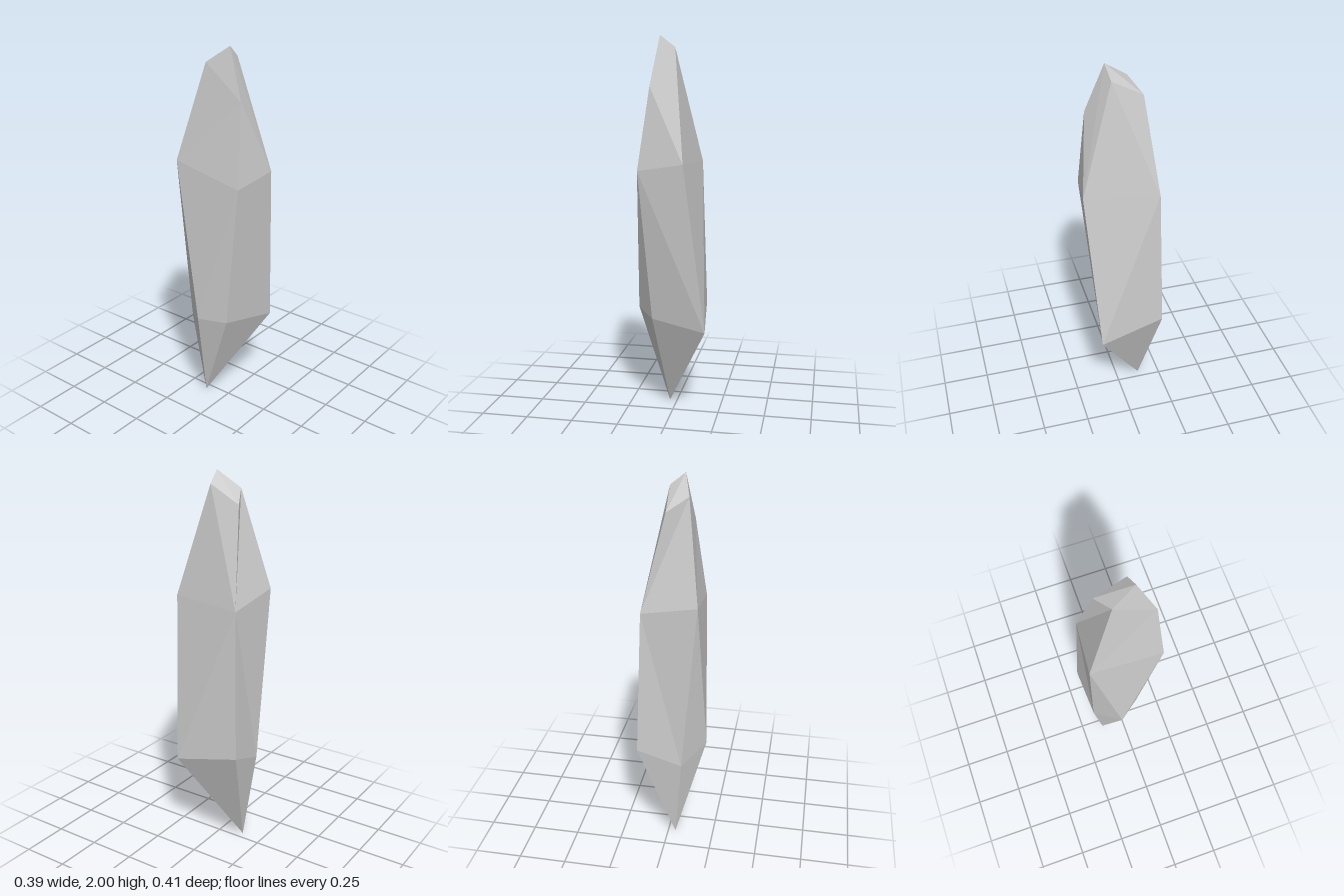
import * as THREE from 'three';

// Corners of the crystal, from tip to tip
const P = {
  base: [-0.04, 0, -0.13],
  // lower belt
  lowFront: [-0.1, 0.53, 0.065], lowFrontLeft: [0.194, 0.49, 0.142], lowBackLeft: [0.155, 0.565, -0.205],
  lowBack: [-0.08, 0.48, -0.187], lowRight: [-0.196, 0.56, -0.053],
  // upper belt
  upFrontRight: [-0.15, 1.33, 0.175], upFrontLeft: [0.088, 1.37, 0.204],
  upBackLeft: [0.13, 1.35, -0.18], upBackRight: [-0.16, 1.41, -0.207],
  // crown
  shoulder: [-0.09, 1.75, 0.146], peak: [-0.055, 2, 0.053], capLeft: [0.02, 1.94, 0.04],
  capBack: [0.012, 1.85, -0.12], capRight: [-0.092, 1.915, -0.066],
};

export function createModel() {
  const group = new THREE.Group();
  const material = new THREE.MeshStandardMaterial({ color: 0xcccccc, flatShading: true });

  // Each facet is a list of corners, counter-clockwise from outside, fanned from its first corner
  function addFacets(name, facets) {
    const pos = [];
    for (const f of facets)
      for (let i = 1; i < f.length - 1; i++)
        for (const key of [f[0], f[i], f[i + 1]]) pos.push(...P[key]);
    const geo = new THREE.BufferGeometry();
    geo.setAttribute('position', new THREE.Float32BufferAttribute(pos, 3));
    geo.computeVertexNormals();
    const mesh = new THREE.Mesh(geo, material);
    mesh.name = name;
    group.add(mesh);
  }

  // Lower point: a fan from the base tip to the lower belt
  const belt = ['lowFront', 'lowFrontLeft', 'lowBackLeft', 'lowBack', 'lowRight'];
  addFacets('lowerPoint', belt.map((k, i) => ['base', belt[(i + 1) % belt.length], k]));

  // Long body facets between the two belts
  addFacets('body', [
    ['lowFrontLeft', 'upFrontLeft', 'upFrontRight', 'lowFront'],
    ['lowFrontLeft', 'lowBackLeft', 'upBackLeft', 'upFrontLeft'],
    ['lowBackLeft', 'lowBack', 'upBackLeft'],
    ['lowBack', 'upBackRight', 'upBackLeft'],
    ['lowBack', 'lowRight', 'upBackRight'],
    ['lowRight', 'upFrontRight', 'upBackRight'],
    ['lowRight', 'lowFront', 'upFrontRight'],
  ]);

  // Tapering crown
  addFacets('crown', [
    ['upFrontRight', 'upFrontLeft', 'shoulder'],
    ['upFrontLeft', 'capLeft', 'peak', 'shoulder'],
    ['upBackLeft', 'capBack', 'capLeft', 'upFrontLeft'],
    ['upBackLeft', 'upBackRight', 'capRight', 'capBack'],
    ['upBackRight', 'upFrontRight', 'shoulder', 'capRight'],
    ['shoulder', 'peak', 'capRight'],
  ]);

  // Sloping cap
  addFacets('cap', [['peak', 'capLeft', 'capBack', 'capRight']]);

  // Fix the diagonal of the left upper facet is given by the fan order above
  group.name = 'crystal';
  return group;
}
